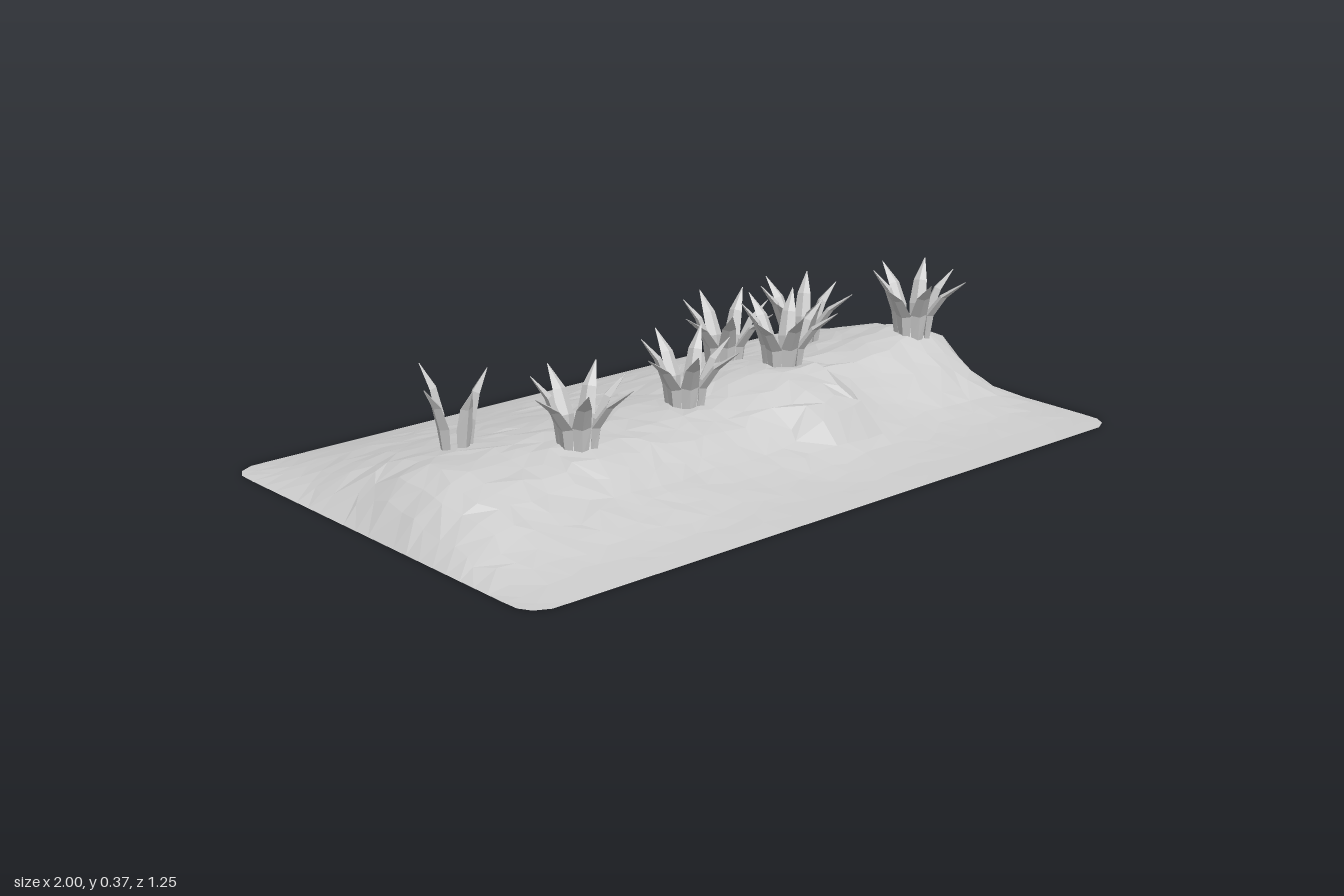
import * as THREE from 'three';

const material = new THREE.MeshStandardMaterial({ color: 0xcccccc, flatShading: true, side: THREE.DoubleSide });
const W = 1, D = 0.625, CORNER = 0.07;

// Small seeded random generator
let seed = 11;
const rand = () => {
  seed = (seed * 16807) % 2147483647;
  return seed / 2147483647;
};
const jitter = (a) => (rand() * 2 - 1) * a;

// Piecewise linear lookup through [position, value] pairs
function lerpTable(table, t) {
  for (let i = 1; i < table.length; i++) {
    const [a, u] = table[i - 1], [b, v] = table[i];
    if (t <= b) return u + (v - u) * THREE.MathUtils.clamp((t - a) / (b - a), 0, 1);
  }
  return table[table.length - 1][1];
}

// Ridge height along x, before the ends fall away
const crest = [[-1, 0.14], [-0.8, 0.138], [-0.45, 0.142], [-0.1, 0.138], [0, 0.13], [0.1, 0.155],
  [0.25, 0.18], [0.45, 0.15], [0.6, 0.165], [0.8, 0.187], [0.9, 0.167], [1, 0.16]];
// Share of the ridge height left on the back and, per x station, on the front slope
const back = [[-D, 0], [-0.5, 0.25], [-0.4, 0.42], [-0.25, 0.68], [-0.1, 0.9], [0, 1]];
const frontZ = [0.1, 0.2, 0.3, 0.4, 0.5];
const front = [
  [-1, [0.95, 0.8, 0.57, 0.3, 0.1]],
  [-0.75, [0.98, 0.85, 0.58, 0.32, 0.11]],
  [-0.45, [1, 0.95, 0.53, 0.32, 0.11]],
  [-0.1, [1, 0.8, 0.4, 0.22, 0.09]],
  [0.3, [1, 0.93, 0.48, 0.18, 0.05]],
  [0.5, [1, 0.62, 0.3, 0.13, 0.04]],
  [0.75, [1, 0.62, 0.24, 0.1, 0.03]],
  [1, [0.95, 0.4, 0.15, 0.05, 0.02]],
];

function groundHeight(x, z) {
  const share = z <= 0 ? lerpTable(back, z) : lerpTable([[0, 1],
    ...frontZ.map((fz, i) => [fz, lerpTable(front.map(([fx, row]) => [fx, row[i]]), x)]), [D, 0]], z);
  // Rounded fall at the ends, wider towards the back
  const endWidth = (x < 0 ? 0.2 : 0.14) + Math.max(0, -z) * 0.2;
  const fade = Math.sin(Math.min(1, (W - Math.abs(x)) / endWidth) * Math.PI / 2);
  const mound = lerpTable(crest, x) * share * fade;
  // Angular rocky outcrop bulging from the front slope
  const rock = z < 0.08 ? 0 : Math.min(
    0.17 - 0.3 * (z - 0.15),
    (0.37 - z) * 2.3,
    (0.46 - x - (z - 0.15) * 0.3) * 2,
    (x - 0.03) * 0.9
  );
  return Math.max(mound, rock, 0);
}

// Faceted open sheet of ground with rounded corners
function createGround() {
  const nx = 34, nz = 24;
  const geo = new THREE.PlaneGeometry(2 * W, 2 * D, nx, nz).rotateX(-Math.PI / 2);
  const p = geo.attributes.position, index = geo.index;
  for (let j = 0; j <= nz; j++) {
    for (let i = 0; i <= nx; i++) {
      const k = j * (nx + 1) + i;
      const rim = i === 0 || j === 0 || i === nx || j === nz;
      let x = p.getX(k) + (rim ? 0 : jitter(0.017));
      let z = p.getZ(k) + (rim ? 0 : jitter(0.015));
      const ox = Math.abs(x) - (W - CORNER), oz = Math.abs(z) - (D - CORNER);
      if (ox > 0 && oz > 0) {
        const s = Math.min(1, CORNER / Math.hypot(ox, oz));
        x = Math.sign(x) * (W - CORNER + ox * s);
        z = Math.sign(z) * (D - CORNER + oz * s);
      }
      const h = groundHeight(x, z);
      p.setXYZ(k, x, rim ? 0 : Math.max(0, h + jitter(0.004) * Math.min(1, h * 15)), z);
    }
  }
  // Flip some diagonals so the facets look irregular
  for (let c = 0; c < index.count; c += 6) {
    if (rand() < 0.5) continue;
    const a = index.getX(c), opposite = index.getX(c + 4);
    index.setX(c + 2, opposite);
    index.setX(c + 3, a);
  }
  geo.computeVertexNormals();
  const mesh = new THREE.Mesh(geo, material);
  mesh.name = 'ground';
  return mesh;
}

// Pointed leaf bending outward along +x, lofted from diamond sections
function createBlade(reach, height) {
  const base = Math.min(0.043, reach * 0.36);
  const sections = [ // outward offset, height, half width, half thickness
    [base, 0, 0.017, 0.009],
    [base + 0.008, 0.4, 0.024, 0.011],
    [base + (reach - base) * 0.42, 0.72, 0.019, 0.009],
    [reach, 1, 0.001, 0.001],
  ];
  const pos = [], index = [];
  sections.forEach(([r, y, w, t], s) => {
    for (let k = 0; k < 4; k++) {
      const a = (k * Math.PI) / 2;
      pos.push(r + Math.cos(a) * t, y * height + Math.cos(a) * t * -0.4, Math.sin(a) * w);
      if (s === 0) continue;
      const a0 = (s - 1) * 4 + k, a1 = (s - 1) * 4 + ((k + 1) % 4);
      index.push(a0, a0 + 4, a1, a1, a0 + 4, a1 + 4);
    }
  });
  const geo = new THREE.BufferGeometry();
  geo.setAttribute('position', new THREE.Float32BufferAttribute(pos, 3));
  geo.setIndex(index);
  geo.computeVertexNormals();
  const blade = new THREE.Mesh(geo, material);
  blade.name = 'grassBlade';
  return blade;
}

// Blade tips relative to the tuft centre: dx, dz, length
const fullTuft = [[-0.16, 0.04, 0.17], [-0.09, -0.07, 0.19], [0.01, -0.13, 0.19], [0.1, -0.05, 0.2],
  [0.12, 0.04, 0.18], [0.06, 0.14, 0.17], [-0.07, 0.13, 0.18]];
const smallTuft = [[-0.05, -0.08, 0.22], [-0.1, 0.01, 0.18], [0.09, 0.01, 0.2], [0, 0.07, 0.17]];

function createTuft(x, z, turn, tips) {
  const tuft = new THREE.Group();
  tuft.name = 'grassTuft';
  for (const [dx, dz, length] of tips) {
    const blade = createBlade(Math.hypot(dx, dz), length);
    blade.rotation.y = -Math.atan2(dz, dx);
    tuft.add(blade);
  }
  tuft.position.set(x, groundHeight(x, z) - 0.015, z);
  tuft.rotation.y = turn;
  return tuft;
}

export function createModel() {
  const model = new THREE.Group();
  model.name = 'grassyMound';
  model.add(createGround());
  model.add(createTuft(-0.665, -0.1, 0, smallTuft));
  const places = [[-0.46, 0.12, 0], [-0.03, 0.03, 0], [0.31, -0.19, -0.1], [0.6, -0.19, 0.15],
    [0.32, 0.03, 0.1], [0.79, 0.07, 0]];
  for (const [x, z, turn] of places) model.add(createTuft(x, z, turn, fullTuft));
  return model;
}
